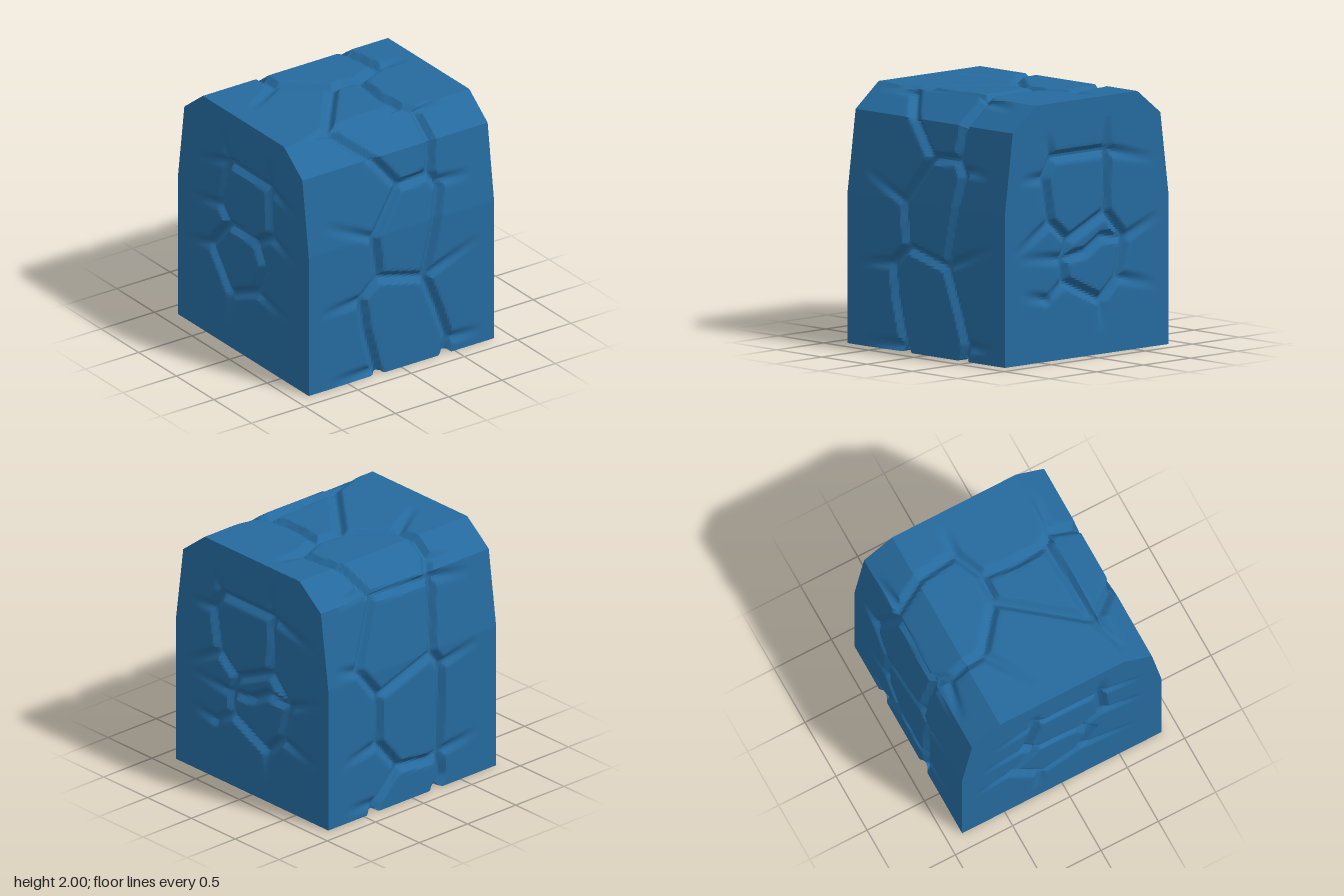
import * as THREE from 'three';
import { toCreasedNormals } from 'three/addons/utils/BufferGeometryUtils.js';

const HALF = 0.87, STEP = 0.02, WIDTH = 0.062, DEPTH = 0.05;
// Half outline of the block, as [z, y], from the base up to the flat top
const OUTLINE = [[0.87, 0], [0.87, 1.18], [0.785, 1.81], [0.54, 2]];

// Half depth of the block at height y, and height of the top at depth z
function halfDepth(y) {
  for (let i = 0; i < 3; i++) {
    const [z0, y0] = OUTLINE[i], [z1, y1] = OUTLINE[i + 1];
    if (y <= y1) return z0 + (z1 - z0) * (y - y0) / (y1 - y0);
  }
  return 0.54;
}
function topHeight(z) {
  const a = Math.abs(z);
  return a < 0.54 ? 2 : 2 - 0.19 * (Math.min(a, 0.785) - 0.54) / 0.245;
}

// Places face coordinates on the block
const V = (x, y, z) => new THREE.Vector3(x, y, z);
const place = {
  front: (x, y) => V(x, y, halfDepth(y)),
  back: (x, y) => V(x, y, -halfDepth(y)),
  top: (x, z) => V(x, topHeight(z), z),
  base: (x, z) => V(x, 0, z),
  plus: (z, y) => V(HALF, y, z),
  minus: (z, y) => V(-HALF, y, z),
};

// Cracks of even depth between the stones
const JOINTS = {
  front: [
    [[-0.42, 1.97], [-0.2, 1.79], [0.01, 1.53], [0.3, 1.55], [0.33, 1.78], [0.34, 1.97]],
    [[0.01, 1.53], [-0.25, 1.17], [-0.21, 0.82], [0.22, 0.71], [0.3, 1.05], [0.38, 1.42], [0.3, 1.55]],
    [[-0.21, 0.82], [-0.37, 0.68], [-0.33, 0.4], [-0.24, 0.06], [-0.22, 0]],
    [[0.22, 0.71], [0.35, 0.38], [0.44, 0.12], [0.41, 0]],
  ],
  top: [
    [[-0.24, -0.78], [-0.32, -0.68], [-0.3, -0.38], [0.04, -0.1], [0.28, -0.08], [0.52, -0.18], [0.48, -0.5], [0.37, -0.78]],
    [[0.04, -0.1], [-0.44, 0.5], [0.26, 0.47], [0.24, 0.2], [0.27, -0.08]],
    [[0.26, 0.47], [0.34, 0.56]],
  ],
  back: [
    [[0.37, 1.81], [0.33, 1.79], [0.55, 1.24], [0.34, 0.97], [0.35, 0.57], [0.14, 0.31], [-0.18, 0.27], [-0.28, 0.3]],
    [[0.33, 1.79], [-0.26, 1.76], [-0.21, 1.16], [0.34, 0.97]],
    [[-0.24, 1.81], [-0.26, 1.76]],
    [[-0.21, 1.16], [-0.3, 1.04], [-0.28, 0.3], [-0.3, 0.1], [-0.24, 0]],
    [[0.14, 0.31], [0.37, 0.08], [0.41, 0]],
  ],
  base: [
    [[-0.22, 0.87], [-0.24, -0.87]],
    [[0.41, 0.87], [0.41, -0.87]],
  ],
  plus: [
    [[0.44, 1.43], [0.36, 1.58], [-0.22, 1.58], [-0.21, 1.1], [0.19, 0.92], [0.38, 1.08], [0.44, 1.43]],
    [[0.19, 0.92], [0.24, 0.78], [0.23, 0.6], [-0.16, 0.42], [-0.33, 0.58], [-0.41, 0.88], [-0.21, 1.1]],
    [[0.24, 0.78], [0, 0.81], [-0.17, 0.91], [-0.41, 0.88]],
  ],
  minus: [
    [[-0.21, 1.57], [0.33, 1.56], [0.35, 1.15], [0.16, 1.02], [-0.21, 1.04], [-0.32, 1.16], [-0.21, 1.57]],
    [[0.16, 1.02], [0.26, 0.85], [0.16, 0.6], [-0.18, 0.45], [-0.44, 0.78], [-0.21, 1.04]],
  ],
};

// Cracks that fade out from the first point to the second
const FADES = {
  front: [
    [[-0.25, 1.17], [-0.72, 1.39]], [[0.38, 1.47], [0.68, 1.46]], [[-0.37, 0.68], [-0.76, 0.65]],
    [[-0.24, 0.05], [-0.68, 0.05]], [[0.22, 0.71], [0.75, 0.91]], [[0.44, 0.12], [0.75, 0.11]],
    [[-0.42, 1.97], [-0.66, 1.97]],
  ],
  top: [
    [[-0.3, -0.38], [-0.7, -0.13]], [[-0.44, 0.5], [-0.78, 0.6]], [[0.34, 0.56], [0.7, 0.6]],
    [[0.52, -0.18], [0.76, -0.16]], [[-0.32, -0.7], [-0.64, -0.75]], [[0.38, -0.74], [0.72, -0.78]],
  ],
  back: [
    [[0.55, 1.24], [0.78, 1.3]], [[0.35, 0.57], [0.72, 0.5]], [[-0.3, 1.04], [-0.7, 1.13]],
    [[-0.28, 0.3], [-0.68, 0.36]], [[-0.26, 1.76], [-0.65, 1.7]], [[0.37, 0.08], [0.68, 0.1]],
  ],
  plus: [
    [[0.44, 1.43], [0.7, 1.43]], [[-0.22, 1.58], [-0.74, 1.45]], [[-0.22, 1.58], [-0.23, 1.83]],
    [[0.36, 1.58], [0.41, 1.75]], [[0.38, 1.08], [0.78, 0.85]], [[0.24, 0.78], [0.74, 0.83]],
    [[-0.41, 0.88], [-0.78, 1.03]], [[0.23, 0.6], [0.44, 0.47]], [[0.42, 0.48], [0.68, 0.54]],
    [[-0.16, 0.42], [-0.16, 0.2]], [[-0.33, 0.58], [-0.76, 0.48]],
  ],
  minus: [
    [[-0.21, 1.57], [-0.26, 1.8]], [[0.33, 1.56], [0.36, 1.82]], [[0.33, 1.56], [0.7, 1.46]],
    [[-0.21, 1.57], [-0.6, 1.45]], [[-0.32, 1.16], [-0.7, 1.1]], [[-0.44, 0.78], [-0.74, 0.7]],
    [[-0.18, 0.45], [-0.22, 0.2]], [[0.16, 0.6], [0.62, 0.52]], [[0.35, 1.15], [0.7, 1.05]],
  ],
};

// Turns the cracks of some faces into short segments that follow the surface
function crackSegments(faces) {
  const list = [];
  const add = (face, p, q, d0, d1) => {
    const n = 6;
    const at = t => place[face](p[0] + (q[0] - p[0]) * t, p[1] + (q[1] - p[1]) * t);
    for (let i = 0; i < n; i++) {
      const a = at(i / n), dir = at((i + 1) / n).sub(a);
      list.push({ a, dir, len2: dir.lengthSq(), d0: d0 + (d1 - d0) * i / n, d1: d0 + (d1 - d0) * (i + 1) / n });
    }
  };
  for (const face of faces) {
    for (const line of JOINTS[face]) {
      for (let i = 0; i + 1 < line.length; i++) add(face, line[i], line[i + 1], DEPTH, DEPTH);
    }
    for (const [p, q] of FADES[face] || []) add(face, p, q, DEPTH * 0.8, 0);
  }
  return list;
}

// Depth of the carving at a point
function carve(p, segments) {
  let depth = 0;
  for (const { a, dir, len2, d0, d1 } of segments) {
    const px = p.x - a.x, py = p.y - a.y, pz = p.z - a.z;
    const t = THREE.MathUtils.clamp((px * dir.x + py * dir.y + pz * dir.z) / len2, 0, 1);
    const r = Math.hypot(px - dir.x * t, py - dir.y * t, pz - dir.z * t) / WIDTH;
    if (r < 1) depth = Math.max(depth, (d0 + (d1 - d0) * t) * (1 - THREE.MathUtils.smoothstep(r, 0.08, 1)));
  }
  return depth;
}

// Grid of points carved inward; point(i, j) gives position p and normal n
function carvedSheet(nu, nv, point, faces) {
  const segments = crackSegments(faces), pos = [], index = [];
  for (let j = 0; j <= nv; j++) {
    for (let i = 0; i <= nu; i++) {
      const { p, n } = point(i, j);
      p.addScaledVector(n, -carve(p, segments));
      pos.push(p.x, p.y, p.z);
      if (i < nu && j < nv) {
        const a = j * (nu + 1) + i, d = a + nu + 1;
        index.push(a, a + 1, d + 1, a, d + 1, d);
      }
    }
  }
  const g = new THREE.BufferGeometry();
  g.setAttribute('position', new THREE.Float32BufferAttribute(pos, 3));
  g.setIndex(index);
  return toCreasedNormals(g, 0.55);
}

// Samples a [z, y] path evenly, keeping its corners, with mitred normals
function samplePath(path, closed) {
  const out = [], m = path.length - 1;
  const normal = k => {
    const [a, b] = [path[k], path[k + 1]], l = Math.hypot(b[0] - a[0], b[1] - a[1]);
    return V(0, -(b[0] - a[0]) / l, (b[1] - a[1]) / l);
  };
  for (let k = 0; k < m; k++) {
    const [a, b] = [path[k], path[k + 1]];
    const n = Math.ceil(Math.hypot(b[0] - a[0], b[1] - a[1]) / STEP);
    for (let i = 0; i < n; i++) {
      const dir = normal(k);
      if (i === 0 && (k > 0 || closed)) dir.add(normal((k + m - 1) % m)).normalize();
      out.push({ z: a[0] + (b[0] - a[0]) * i / n, y: a[1] + (b[1] - a[1]) * i / n, n: dir });
    }
  }
  out.push(closed ? out[0] : { z: path[m][0], y: path[m][1], n: normal(m - 1) });
  return out;
}

export function createModel() {
  const group = new THREE.Group();
  group.name = 'crackedStoneBlock';
  const stone = new THREE.MeshStandardMaterial({ color: 0x256a9e });
  stone.name = 'blue stone';
  const add = (name, geometry) => {
    const mesh = new THREE.Mesh(geometry, stone);
    mesh.name = name;
    group.add(mesh);
  };
  const nu = Math.ceil(2 * HALF / STEP);

  // Front, bevels, top, back and base as one band
  const mirrored = OUTLINE.map(([z, y]) => [-z, y]).reverse();
  const band = samplePath([...OUTLINE, ...mirrored, OUTLINE[0]], true);
  add('stoneBand', carvedSheet(nu, band.length - 1, (i, j) => ({
    p: V(-HALF + 2 * HALF * i / nu, band[j].y, band[j].z), n: band[j].n,
  }), ['front', 'top', 'back', 'base']));

  // Two end walls
  const rows = samplePath(OUTLINE, false);
  for (const [name, face, s] of [['leftWall', 'plus', 1], ['rightWall', 'minus', -1]]) {
    add(name, carvedSheet(nu, rows.length - 1, (i, j) => ({
      p: V(s * HALF, rows[j].y, s * rows[j].z * (1 - 2 * i / nu)), n: V(s, 0, 0),
    }), [face]));
  }
  return group;
}
